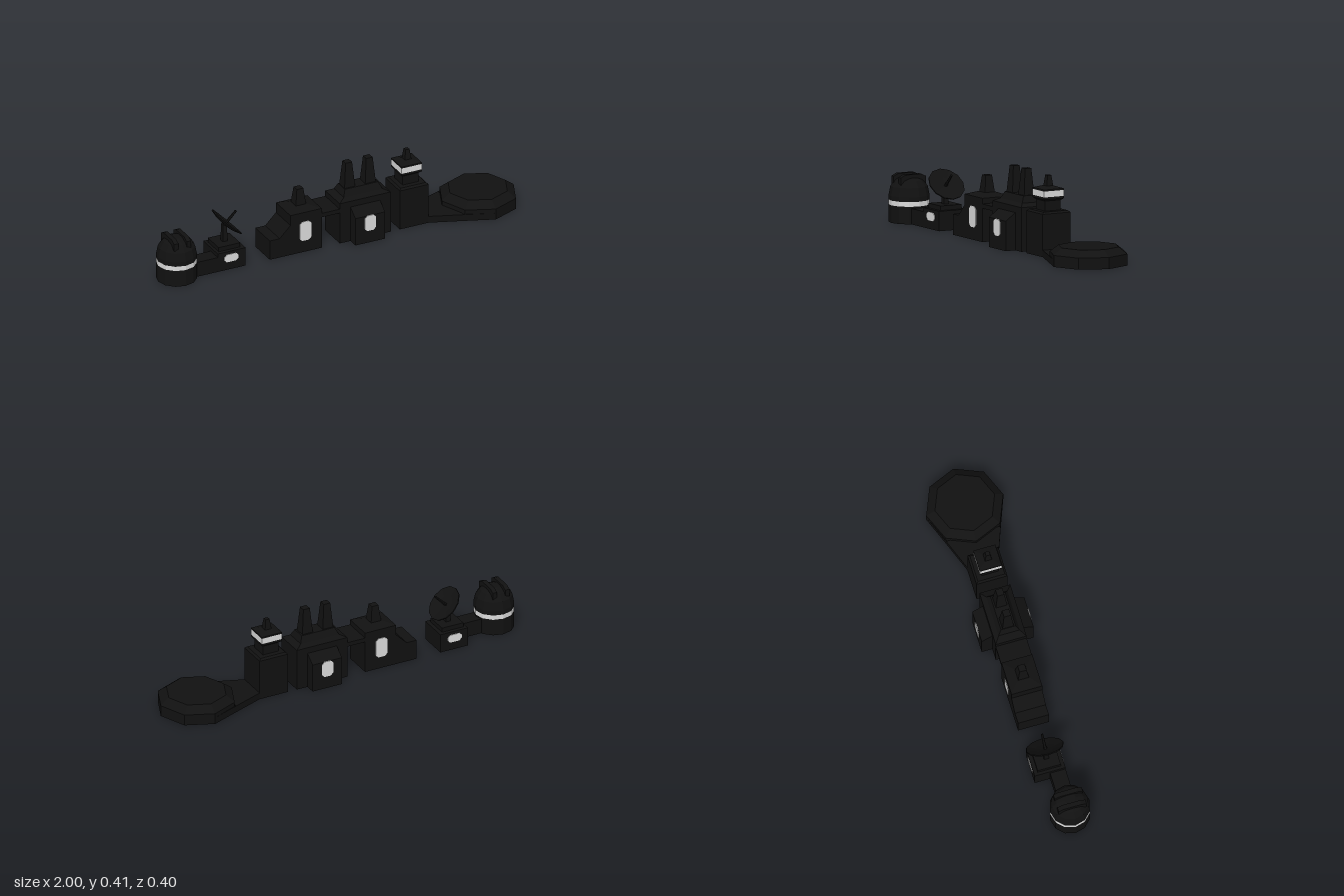
import * as THREE from 'three';

const dark = new THREE.MeshStandardMaterial({ color: 0x111111, side: THREE.DoubleSide, flatShading: true });
dark.name = 'black wall';
const light = new THREE.MeshStandardMaterial({ color: 0xdddddd, side: THREE.DoubleSide, flatShading: true });
light.name = 'pale window';

// Hollow shell through horizontal rings of [x, z] corners, open below
function loft(rings, cap = true) {
  const pos = [];
  const add = (...pts) => pts.forEach(p => pos.push(...p));
  const at = rings.map(r => r.pts.map(([x, z]) => [x, r.y, z]));
  const n = at[0].length;
  for (let k = 0; k < at.length - 1; k++) {
    for (let i = 0; i < n; i++) {
      const j = (i + 1) % n, a = at[k], b = at[k + 1];
      add(a[i], a[j], b[j], a[i], b[j], b[i]);
    }
  }
  const top = at[at.length - 1];
  if (cap) for (let i = 1; i < n - 1; i++) add(top[0], top[i], top[i + 1]);
  const g = new THREE.BufferGeometry();
  g.setAttribute('position', new THREE.Float32BufferAttribute(pos, 3));
  g.computeVertexNormals();
  return g;
}
const rect = (y, x0, x1, z) => ({ y, pts: [[x1, z], [x1, -z], [x0, -z], [x0, z]] });
const square = (y, x, r) => rect(y, x - r, x + r, r);
const circle = (y, x, z, r, n) => ({
  y, pts: Array.from({ length: n }, (_, i) => {
    const a = (i / n) * Math.PI * 2;
    return [x + r * Math.cos(a), z - r * Math.sin(a)];
  }),
});

function part(parent, name, geometry, material = dark) {
  const m = new THREE.Mesh(geometry, material);
  m.name = name;
  parent.add(m);
  return m;
}
function box(parent, name, x0, x1, y0, y1, z0, z1) {
  const m = part(parent, name, new THREE.BoxGeometry(x1 - x0, y1 - y0, z1 - z0));
  m.position.set((x0 + x1) / 2, (y0 + y1) / 2, (z0 + z1) / 2);
}
function group(root, name) {
  const g = new THREE.Group();
  g.name = name;
  root.add(g);
  return g;
}

// Clipped-corner windows on the front and back walls, seen from inside too
function windows(parent, x, y, w, h, z) {
  const a = w / 2, b = h / 2, c = 0.014;
  const shape = new THREE.Shape([
    [-a + c, -b], [a - c, -b], [a, -b + c], [a, b - c],
    [a - c, b], [-a + c, b], [-a, b - c], [-a, -b + c],
  ].map(p => new THREE.Vector2(...p)));
  for (const s of [1, -1]) {
    const m = part(parent, s > 0 ? 'frontWindow' : 'backWindow',
      new THREE.ExtrudeGeometry(shape, { depth: 0.006, bevelEnabled: false }), light);
    m.position.set(x, y, s * z - 0.003);
  }
}

function observatory(root) {
  const g = group(root, 'observatory');
  const ring = (y, r) => circle(y, -0.9, 0.04, r, 12);
  part(g, 'lowerWall', loft([ring(0, 0.102), ring(0.088, 0.102)], false));
  part(g, 'windowBand', loft([ring(0.088, 0.102), ring(0.112, 0.102)], false), light);
  part(g, 'dome', loft([ring(0.112, 0.102), ring(0.135, 0.102), ring(0.18, 0.093),
    ring(0.212, 0.07), ring(0.232, 0.03)]));
  // Shutter rails across the dome
  for (const x of [-0.938, -0.868]) {
    const r = (y, z0, z1) => ({ y, pts: [[x + 0.012, z1], [x + 0.012, z0], [x - 0.012, z0], [x - 0.012, z1]] });
    part(g, 'shutterRail', loft([r(0.19, -0.033, 0.113), r(0.229, -0.033, 0.113), r(0.242, -0.006, 0.086)]));
  }
}

function radarHouse(root) {
  const g = group(root, 'radarHouse');
  const hall = (y) => ({ y, pts: [[-0.69, 0.08], [-0.69, 0], [-0.82, 0], [-0.82, 0.08]] });
  part(g, 'passage', loft([hall(0), hall(0.08)]));
  part(g, 'house', loft([rect(0, -0.69, -0.535, 0.08), rect(0.1, -0.69, -0.535, 0.08)]));
  part(g, 'plinth', loft([rect(0.1, -0.675, -0.555, 0.06), rect(0.123, -0.675, -0.555, 0.06)]));
  part(g, 'mast', loft([square(0.123, -0.615, 0.013), square(0.215, -0.615, 0.011)]));
  windows(g, -0.615, 0.064, 0.08, 0.042, 0.08);
  // Tilted dish with its feed arm
  const dish = group(g, 'dish');
  dish.position.set(-0.61, 0.212, 0);
  dish.rotation.z = -Math.PI / 4;
  const profile = [[0, -0.006], [0.055, 0], [0.096, 0.012], [0.096, 0.018], [0.05, 0.009], [0, 0.004]];
  part(dish, 'reflector', new THREE.LatheGeometry(profile.map(p => new THREE.Vector2(...p)), 12));
  const feed = part(dish, 'feedArm', new THREE.CylinderGeometry(0.006, 0.008, 0.085, 6));
  feed.position.y = 0.045;
}

function chimney(parent, x, y0, y1) {
  part(parent, 'chimney', loft([square(y0, x, 0.031), square(y1, x, 0.018)]));
}

function workshop(root) {
  const g = group(root, 'workshop');
  part(g, 'lowWing', loft([rect(0, -0.4, -0.285, 0.08), rect(0.105, -0.4, -0.285, 0.08),
    rect(0.105, -0.345, -0.285, 0.08), rect(0.165, -0.285, -0.285, 0.08)]));
  part(g, 'hall', loft([rect(0, -0.285, -0.11, 0.08), rect(0.22, -0.285, -0.11, 0.08),
    rect(0.237, -0.235, -0.165, 0.035)]));
  chimney(g, -0.2, 0.215, 0.322);
  windows(g, -0.202, 0.117, 0.065, 0.106, 0.08);
  box(g, 'bridge', -0.11, -0.01, 0.17, 0.192, -0.08, 0.08);
}

function powerHouse(root) {
  const g = group(root, 'powerHouse');
  part(g, 'hall', loft([rect(0, -0.01, 0.275, 0.08), rect(0.222, -0.01, 0.275, 0.08),
    rect(0.238, 0.025, 0.24, 0.055), rect(0.272, 0.04, 0.225, 0.038)]));
  part(g, 'crossBay', loft([rect(0, 0.05, 0.215, 0.135), rect(0.15, 0.05, 0.215, 0.135),
    rect(0.19, 0.05, 0.215, 0.08)]));
  chimney(g, 0.072, 0.255, 0.405);
  chimney(g, 0.187, 0.255, 0.405);
  windows(g, 0.132, 0.109, 0.063, 0.085, 0.135);
}

function controlTower(root) {
  const g = group(root, 'controlTower');
  part(g, 'base', loft([rect(0, 0.325, 0.485, 0.08), rect(0.215, 0.325, 0.485, 0.08),
    rect(0.224, 0.335, 0.475, 0.07)]));
  part(g, 'neck', loft([square(0.22, 0.403, 0.044), square(0.28, 0.403, 0.044)]));
  part(g, 'galleryFloor', loft([square(0.275, 0.403, 0.047), square(0.284, 0.403, 0.057),
    square(0.295, 0.403, 0.057)], false));
  part(g, 'galleryGlass', loft([square(0.295, 0.403, 0.057), square(0.325, 0.403, 0.057)], false), light);
  part(g, 'galleryRoof', loft([square(0.325, 0.403, 0.057), square(0.333, 0.403, 0.057),
    square(0.345, 0.403, 0.02)]));
  part(g, 'spire', loft([square(0.345, 0.403, 0.018), square(0.398, 0.403, 0.011)]));
}

function landingPad(root) {
  const g = group(root, 'landingPad');
  const apron = (y) => ({ y, pts: [[0.65, 0.142], [0.65, -0.142], [0.485, -0.08], [0.485, 0.08]] });
  const fillet = (y, s) => ({ y, pts: [[0.8, s * 0.2], [0.65, s * 0.142], [0.7, s * 0.1]] });
  part(g, 'apron', loft([apron(0), apron(0.035)]));
  for (const s of [1, -1]) part(g, 'apronEdge', loft([fillet(0, s), fillet(0.035, s)]));
  const ring = (y, r) => circle(y, 0.8, 0, r, 8);
  part(g, 'pad', loft([ring(0, 0.2), ring(0.058, 0.2), ring(0.092, 0.155)]));
}

export function createModel() {
  const root = new THREE.Group();
  root.name = 'outpost';
  [observatory, radarHouse, workshop, powerHouse, controlTower, landingPad].forEach(f => f(root));
  return root;
}
